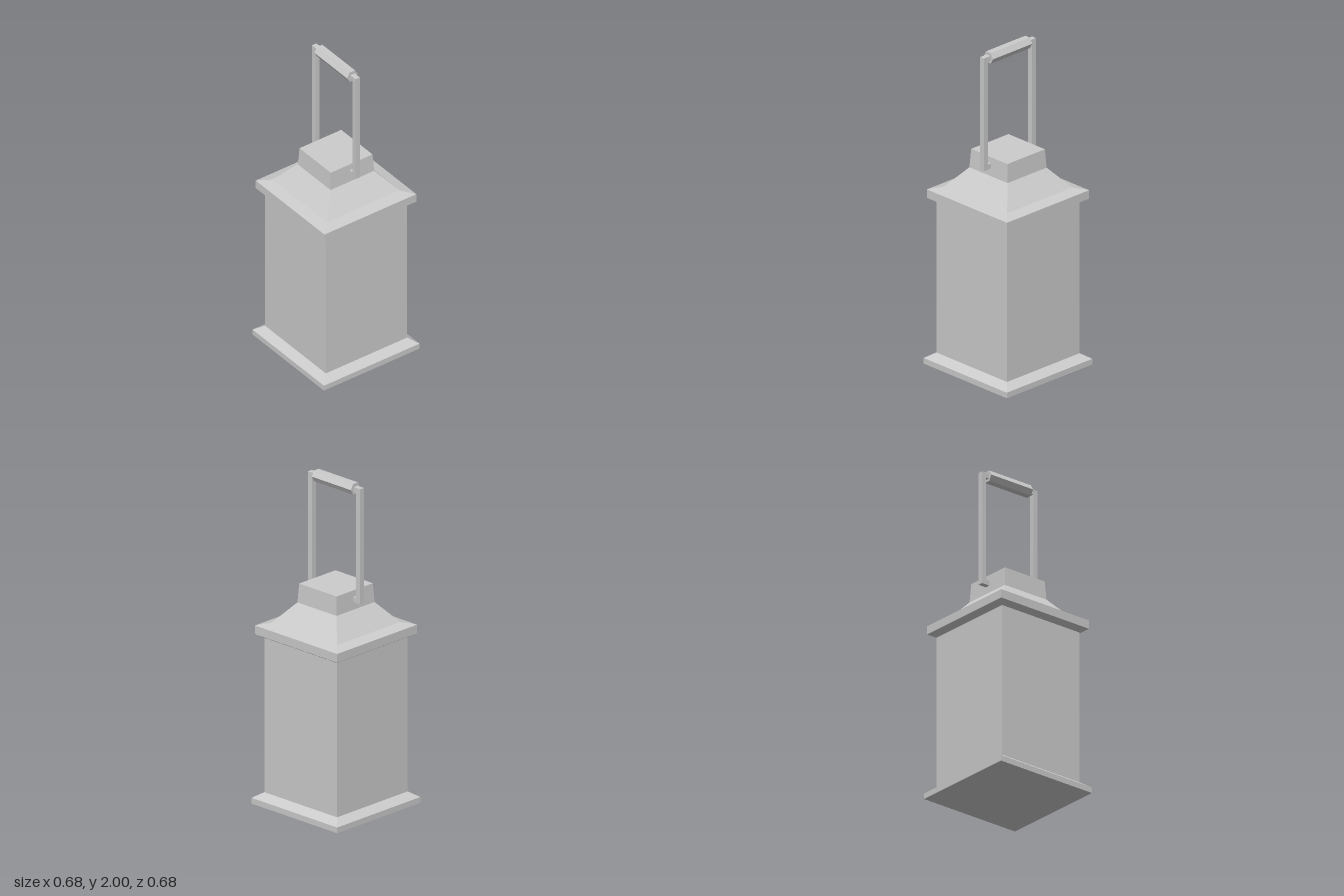
import * as THREE from 'three';

const material = new THREE.MeshStandardMaterial({ color: 0xcccccc, flatShading: true });

function addMesh(parent, name, geometry, x = 0, y = 0, z = 0) {
  const mesh = new THREE.Mesh(geometry, material);
  mesh.name = name;
  mesh.position.set(x, y, z);
  parent.add(mesh);
  return mesh;
}

// Square section swept up a profile of [half width, height] points
function squareLathe(profile) {
  const points = profile.map(([w, y]) => new THREE.Vector2(w * Math.SQRT2, y));
  return new THREE.LatheGeometry(points, 4, Math.PI / 4);
}

export function createModel() {
  const lantern = new THREE.Group();
  lantern.name = 'lantern';

  // Stacked square parts, each starting on the rim of the one below
  addMesh(lantern, 'base', squareLathe([[0, 0], [0.341, 0], [0.341, 0.035], [0.29, 0.07]]));
  addMesh(lantern, 'body', squareLathe([[0.29, 0.07], [0.29, 1.015]]));
  addMesh(lantern, 'roof', squareLathe([
    [0.29, 1.015], [0.328, 1.037], [0.328, 1.09], [0.26, 1.107], [0.156, 1.23],
  ]));
  addMesh(lantern, 'cap', squareLathe([[0.156, 1.23], [0.149, 1.345], [0, 1.345]]));

  // Carrying handle: two bent arms and a hexagonal grip
  const handle = new THREE.Group();
  handle.name = 'handle';
  lantern.add(handle);
  for (const [side, s] of [['left', 1], ['right', -1]]) {
    const arm = new THREE.Group();
    arm.name = `${side}Arm`;
    handle.add(arm);
    addMesh(arm, 'upright', new THREE.BoxGeometry(0.031, 0.705, 0.031), s * 0.192, 1.628);
    addMesh(arm, 'lowerPin', new THREE.BoxGeometry(0.04, 0.031, 0.031), s * 0.158, 1.291);
    addMesh(arm, 'upperPin', new THREE.BoxGeometry(0.04, 0.031, 0.031), s * 0.158, 1.965);
  }
  const grip = new THREE.CylinderGeometry(0.038, 0.038, 0.312, 6).rotateZ(Math.PI / 2);
  addMesh(handle, 'grip', grip, 0, 1.967);

  return lantern;
}
